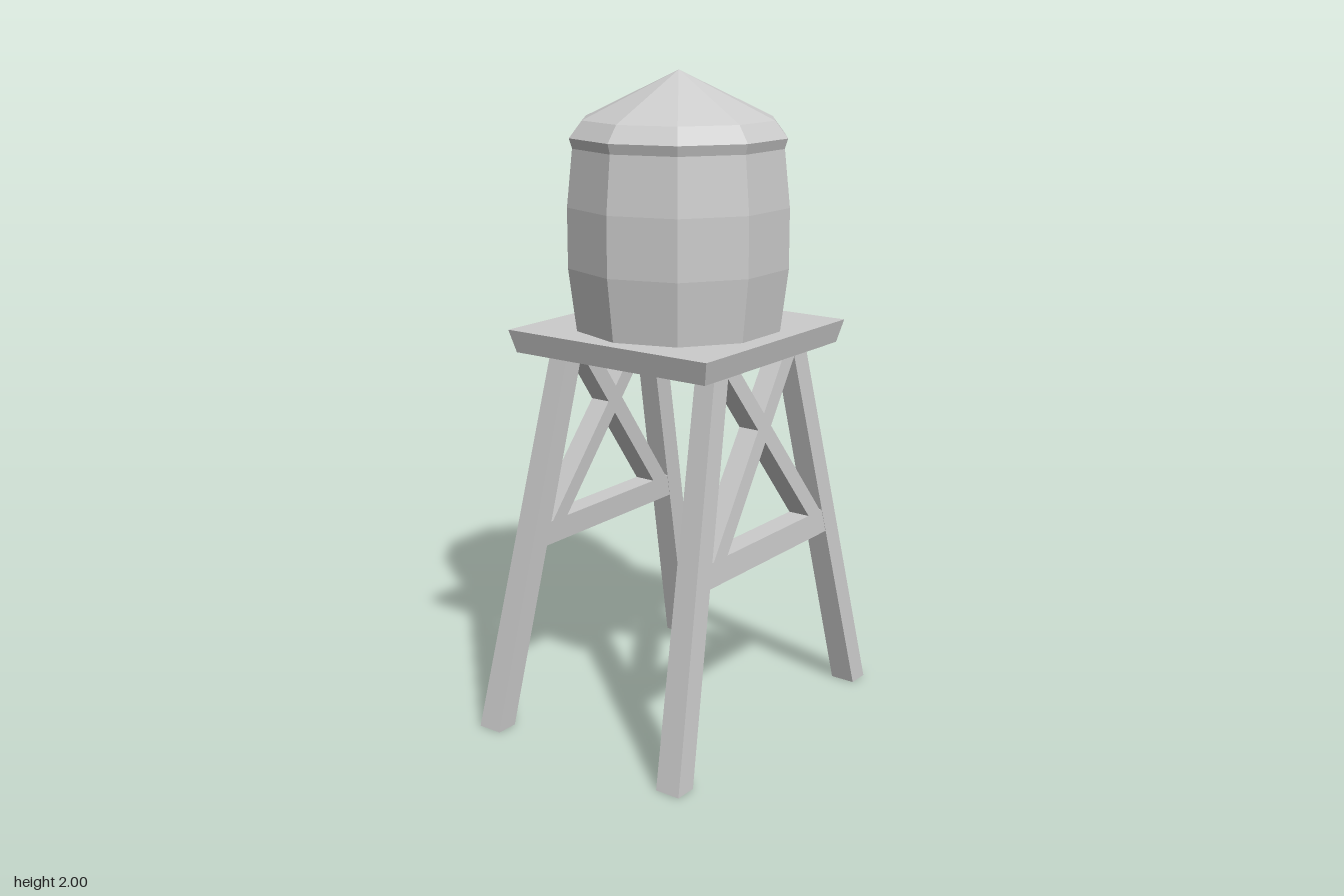
import * as THREE from 'three';

const material = new THREE.MeshStandardMaterial({ color: 0xcccccc, flatShading: true });

function addMesh(parent, name, geometry) {
  const flat = geometry.index ? geometry.toNonIndexed() : geometry;
  flat.computeVertexNormals();
  const mesh = new THREE.Mesh(flat, material);
  mesh.name = name;
  parent.add(mesh);
  return mesh;
}

// Six-sided beam between two level rectangles; each is { y, x: [a, b], z: [a, b] }
function beam(bottom, top) {
  const geometry = new THREE.BoxGeometry(1, 1, 1);
  const p = geometry.attributes.position;
  const pick = (range, v) => (v > 0 ? Math.max(...range) : Math.min(...range));
  for (let i = 0; i < p.count; i++) {
    const end = p.getY(i) > 0 ? top : bottom;
    p.setXYZ(i, pick(end.x, p.getX(i)), end.y, pick(end.z, p.getZ(i)));
  }
  return geometry;
}

// Ten-sided turned shape from [radius, height] pairs, bottom to top
function turned(profile) {
  return new THREE.LatheGeometry(profile.map(([r, y]) => new THREE.Vector2(r, y)), 10);
}

const DECK_Y = 1.17;
const RAIL_TOP = 0.635;

// Sideways extent of the leaning legs at a height, on side s
const legX = (y, s, inset = 0) => [s * (0.305 - 0.0573 * y + inset), s * (0.385 - 0.0684 * y - inset)];
const legZ = (y, s) => [s * (0.45 - 0.239 * y), s * (0.52 - 0.239 * y)];

export function createModel() {
  const model = new THREE.Group();
  model.name = 'waterTower';

  // Splayed legs
  const legs = new THREE.Group();
  legs.name = 'legs';
  model.add(legs);
  for (const sx of [-1, 1]) {
    for (const sz of [-1, 1]) {
      const section = (y) => ({ y, x: legX(y, sx), z: legZ(y, sz) });
      addMesh(legs, (sz > 0 ? 'front' : 'back') + (sx > 0 ? 'Left' : 'Right') + 'Leg',
        beam(section(0), section(DECK_Y + 0.01)));
    }
  }

  // Rail and crossed braces on the left and right sides
  for (const s of [-1, 1]) {
    const bracing = new THREE.Group();
    bracing.name = s > 0 ? 'leftBracing' : 'rightBracing';
    model.add(bracing);
    const at = (y, z) => ({ y, x: legX(y, s, 0.001), z });
    addMesh(bracing, 'rail', beam(at(0.56, [-0.33, 0.33]), at(RAIL_TOP, [-0.31, 0.31])));
    for (const t of [-1, 1]) {
      addMesh(bracing, 'crossBrace',
        beam(at(RAIL_TOP, [t * 0.221, t * 0.289]), at(DECK_Y, [-t * 0.191, -t * 0.123])));
    }
  }

  // Deck with sloping edges
  const square = (y, h) => ({ y, x: [-h, h], z: [-h, h] });
  addMesh(model, 'deck', beam(square(DECK_Y, 0.348), square(1.24, 0.365)));

  // Bulging tank
  addMesh(model, 'tank', turned([[0.318, 1.24], [0.342, 1.43], [0.342, 1.61], [0.324, 1.78]]));

  // Roof with a small flared rim
  addMesh(model, 'roof', turned([[0, 1.77], [0.32, 1.77], [0.333, 1.81], [0.294, 1.86], [0, 2]]));

  return model;
}
